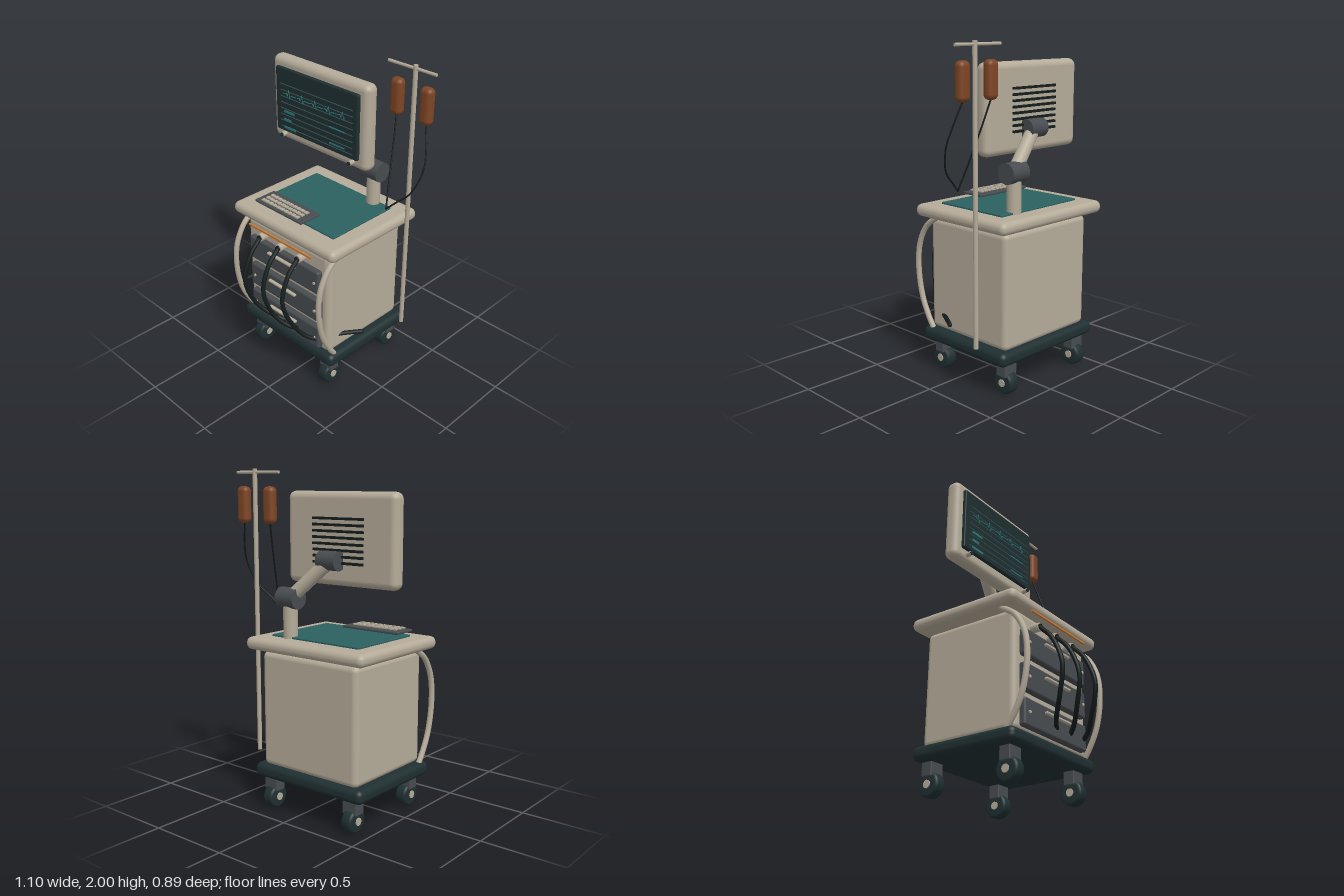
import * as THREE from 'three';
import { RoundedBoxGeometry } from 'three/addons/geometries/RoundedBoxGeometry.js';

const mat = (name, color) => {
  const m = new THREE.MeshStandardMaterial({ color });
  m.name = name;
  return m;
};

export function createModel() {
  const root = new THREE.Group();
  root.name = 'patientMonitorCart';
  const shell = mat('beigeShell', 0xb5ab99);
  const grey = mat('slateGrey', 0x484c50);
  const rubber = mat('darkRubber', 0x1f2f31);
  const cableMat = mat('blackCable', 0x141c1c);
  const teal = mat('tealMat', 0x2b6161);
  const glass = mat('screenGlass', 0x1f2f31);
  const gridMat = mat('screenGrid', 0x3c5555);
  const trace = mat('screenTrace', 0x2a7c7c);
  const amber = mat('amberStrip', 0xc97a35);
  const brown = mat('brownBag', 0x7d4524);

  const add = (name, geo, material, x = 0, y = 0, z = 0, parent = root) => {
    const m = new THREE.Mesh(geo, material);
    m.name = name;
    m.position.set(x, y, z);
    parent.add(m);
    return m;
  };
  const box = (name, material, w, h, d, x, y, z, r = 0) =>
    add(name, r ? new RoundedBoxGeometry(w, h, d, 4, r) : new THREE.BoxGeometry(w, h, d), material, x, y, z);
  const cyl = (name, material, r, len, x, y, z, axis = 'y', sides = 24) => {
    const g = new THREE.CylinderGeometry(r, r, len, sides);
    if (axis === 'x') g.rotateZ(Math.PI / 2);
    if (axis === 'z') g.rotateX(Math.PI / 2);
    return add(name, g, material, x, y, z);
  };
  const tube = (name, material, pts, r, seg = 40) => {
    const curve = new THREE.CatmullRomCurve3(pts.map(p => new THREE.Vector3(...p)));
    const m = add(name, new THREE.TubeGeometry(curve, seg, r, 10), material);
    // Round the two open ends
    for (const p of [pts[0], pts[pts.length - 1]]) {
      add(name + 'End', new THREE.SphereGeometry(r, 10, 8), material, ...p);
    }
    return m;
  };

  // Cart body
  box('base', rubber, 0.8, 0.085, 0.685, -0.085, 0.232, -0.073, 0.035);
  box('cabinet', shell, 0.7, 0.69, 0.625, -0.085, 0.612, -0.073, 0.035);
  box('tabletop', shell, 0.86, 0.075, 0.733, -0.085, 1.003, -0.078, 0.035);
  box('workMat', teal, 0.637, 0.014, 0.495, -0.084, 1.045, -0.078, 0.005);

  // Casters
  for (const x of [-0.384, 0.213]) {
    for (const z of [0.18, -0.345]) {
      box('casterFork', grey, 0.098, 0.085, 0.07, x, 0.153, z, 0.006);
      const wheel = new THREE.LatheGeometry([
        [0, -0.037], [0.056, -0.037], [0.066, -0.03], [0.07, -0.02],
        [0.07, 0.02], [0.066, 0.03], [0.056, 0.037], [0, 0.037]
      ].map(p => new THREE.Vector2(...p)), 28);
      wheel.rotateZ(Math.PI / 2);
      add('casterWheel', wheel, rubber, x, 0.07, z);
      cyl('casterHub', shell, 0.023, 0.086, x, 0.07, z, 'x', 12);
    }
  }

  // Drawers with pulls and screws
  for (const y of [0.769, 0.57, 0.372]) {
    box('drawerFront', grey, 0.6, 0.157, 0.05, -0.085, y, 0.25, 0.014);
    box('drawerPull', shell, 0.235, 0.016, 0.022, -0.087, y + 0.035, 0.284, 0.006);
    for (const x of [-0.345, 0.185]) cyl('drawerScrew', shell, 0.009, 0.012, x, y, 0.277, 'z', 10);
  }
  box('amberStrip', amber, 0.535, 0.012, 0.01, -0.084, 0.951, 0.297);

  // Sockets and hanging leads
  for (const x of [-0.268, -0.103, 0.062]) {
    cyl('leadSocket', shell, 0.025, 0.06, x, 0.885, 0.262, 'z');
    cyl('leadPlug', cableMat, 0.017, 0.02, x, 0.885, 0.29, 'z');
  }
  const leads = [
    [[-0.268, 0.885, 0.29], [-0.267, 0.8, 0.37], [-0.26, 0.64, 0.428], [-0.225, 0.48, 0.385],
      [-0.155, 0.385, 0.315], [-0.055, 0.345, 0.25]],
    [[-0.103, 0.885, 0.29], [-0.103, 0.8, 0.37], [-0.092, 0.64, 0.428], [-0.055, 0.47, 0.385],
      [0.01, 0.385, 0.32], [0.07, 0.352, 0.25]],
    [[0.062, 0.885, 0.29], [0.063, 0.8, 0.37], [0.075, 0.64, 0.428], [0.115, 0.47, 0.375],
      [0.178, 0.37, 0.29], [0.265, 0.36, 0.12], [0.325, 0.348, 0.01]]
  ];
  for (const pts of leads) tube('lead', cableMat, pts, 0.0135);

  // Bowed side handles
  for (const x of [-0.451, 0.281]) {
    tube('sideHandle', shell, [[x, 0.965, 0.165], [x, 0.9, 0.255], [x, 0.78, 0.32],
      [x, 0.625, 0.335], [x, 0.45, 0.305], [x, 0.34, 0.255], [x, 0.27, 0.21]], 0.017);
  }

  // Keyboard
  box('keyboard', grey, 0.403, 0.015, 0.155, -0.184, 1.069, 0.138, 0.005);
  for (let c = 0; c < 10; c++) {
    for (let r = 0; r < 3; r++) {
      box('key', shell, 0.023, 0.008, 0.023, -0.333 + c * 0.0325, 1.082, 0.115 + r * 0.0365);
    }
  }

  // Monitor housing, screen and knobs
  box('monitorHousing', shell, 0.773, 0.525, 0.094, -0.162, 1.613, -0.15, 0.04);
  box('screen', glass, 0.665, 0.4, 0.026, -0.162, 1.62, -0.093, 0.008);
  for (const x of [-0.44, 0.12]) {
    cyl('knob', shell, 0.015, 0.036, x, 1.395, -0.088, 'z', 16);
    cyl('knobCap', rubber, 0.012, 0.008, x, 1.395, -0.068, 'z', 16);
  }

  // Screen grid, pulse trace and reading bars
  for (let i = 0; i < 8; i++) {
    box('gridLine', gridMat, 0.59, 0.004, 0.004, -0.158, 1.722 - i * 0.0385, -0.078);
  }
  const wave = new THREE.Shape();
  const beat = [[0, 0], [0.03, 0.006], [0.04, -0.008], [0.05, 0.03], [0.06, -0.02], [0.07, 0]];
  const line = [];
  for (let i = 0; i < 5; i++) for (const [x, y] of beat) line.push([-0.43 + i * 0.11 + x, 1.665 + y]);
  line.forEach(([x, y], i) => (i ? wave.lineTo(x, y + 0.002) : wave.moveTo(x, y + 0.002)));
  line.reverse().forEach(([x, y]) => wave.lineTo(x, y - 0.002));
  add('pulseTrace', new THREE.ExtrudeGeometry(wave, { depth: 0.004, bevelEnabled: false }), trace, 0, 0, -0.077);
  [[-0.38, 1.552, 0.09], [-0.395, 1.5, 0.06], [-0.375, 1.45, 0.1]].forEach(([x, y, w]) =>
    box('readingBar', trace, w, 0.014, 0.004, x, y, -0.077));
  for (const y of [1.57, 1.47]) box('levelBar', trace, 0.122, 0.007, 0.005, 0.016, y, -0.077);

  // Rear vent slats
  for (let i = 0; i < 8; i++) {
    box('ventSlat', cableMat, 0.354, 0.014, 0.02, -0.159, 1.727 - i * 0.035, -0.204);
  }

  // Monitor arm
  cyl('armPost', shell, 0.042, 0.22, 0.112, 1.14, -0.3);
  cyl('elbowJoint', grey, 0.061, 0.132, 0.112, 1.273, -0.3, 'x', 28);
  cyl('headJoint', grey, 0.055, 0.132, -0.127, 1.495, -0.23, 'x', 28);
  const a = new THREE.Vector3(0.112, 1.273, -0.3);
  const b = new THREE.Vector3(-0.127, 1.495, -0.23);
  const dir = b.clone().sub(a);
  const mid = a.clone().add(b).multiplyScalar(0.5);
  const arm = cyl('armLink', shell, 0.04, dir.length(), mid.x, mid.y, mid.z);
  arm.quaternion.setFromUnitVectors(new THREE.Vector3(0, 1, 0), dir.normalize());

  // Drip pole, bags and lines
  cyl('dripPole', shell, 0.0135, 1.695, 0.395, 1.152, -0.283, 'y', 16);
  cyl('dripCrossbar', shell, 0.009, 0.332, 0.371, 1.98, -0.283, 'x', 12);
  for (const x of [0.278, 0.485]) box('dripBag', brown, 0.08, 0.215, 0.065, x, 1.793, -0.283, 0.03);
  tube('dripLine', cableMat, [[0.278, 1.69, -0.283], [0.3, 1.56, -0.245], [0.335, 1.36, -0.18],
    [0.37, 1.18, -0.118]], 0.005);
  tube('dripLine', cableMat, [[0.485, 1.69, -0.283], [0.525, 1.56, -0.25], [0.542, 1.45, -0.215],
    [0.5, 1.31, -0.165], [0.42, 1.23, -0.133], [0.37, 1.18, -0.118]], 0.005);

  return root;
}
